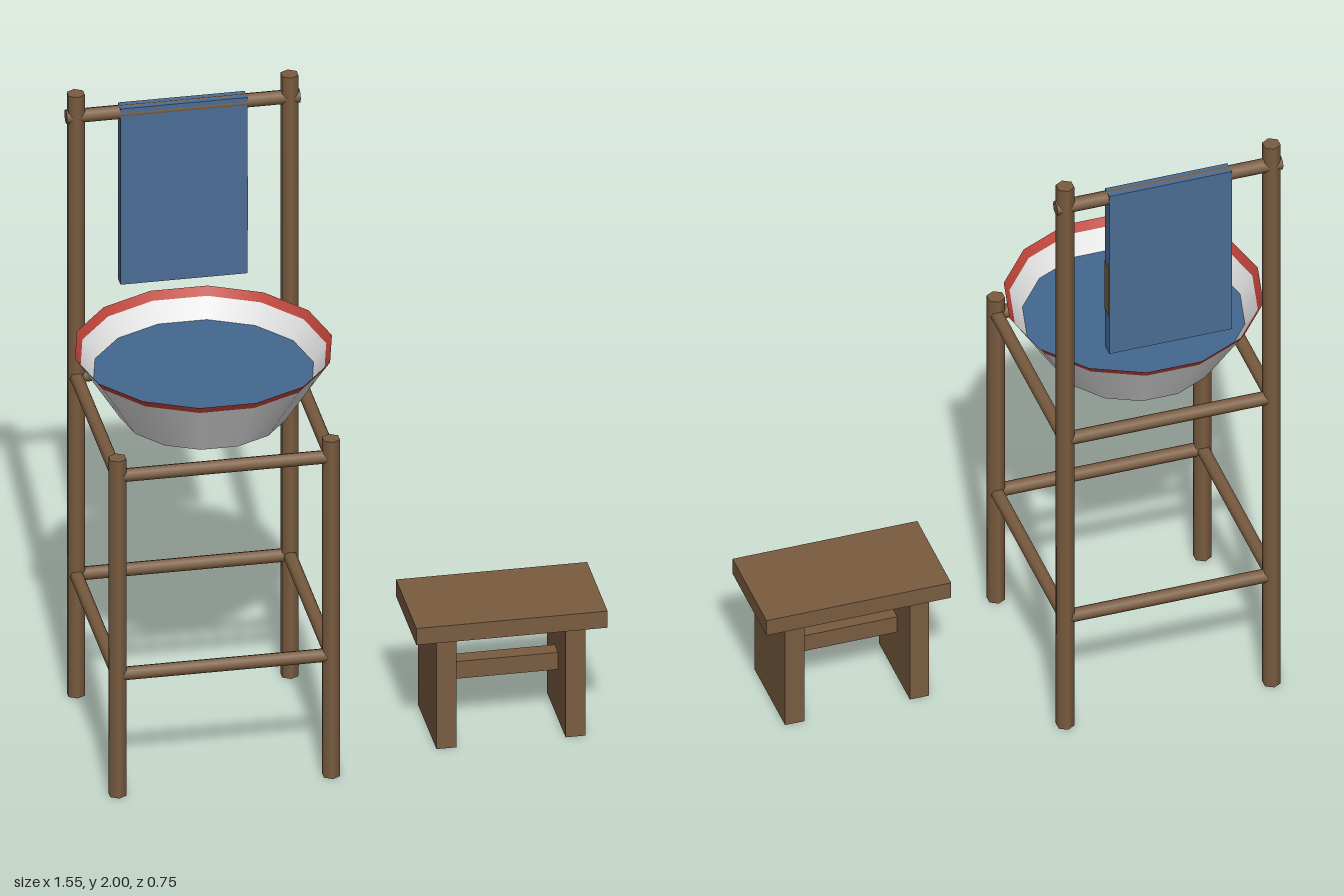
import * as THREE from 'three';

const mat = (name, color, side = THREE.FrontSide) => {
  const m = new THREE.MeshStandardMaterial({ color, side });
  m.name = name;
  return m;
};

export function createModel() {
  const wood = mat('brown wood', 0x7a5c40);
  const enamel = mat('white enamel', 0xe6e6e6, THREE.DoubleSide);
  const red = mat('red rim', 0xc0453a, THREE.DoubleSide);
  const blue = mat('blue cloth', 0x4a6c94);
  const waterBlue = mat('blue water', 0x42688f);

  const model = new THREE.Group();
  model.name = 'washstandAndStool';
  const group = (name) => {
    const g = new THREE.Group();
    g.name = name;
    model.add(g);
    return g;
  };
  const add = (parent, name, geometry, material, x, y, z) => {
    const mesh = new THREE.Mesh(geometry, material);
    mesh.name = name;
    mesh.position.set(x, y, z);
    parent.add(mesh);
    return mesh;
  };
  // box given by its minimum and maximum corners
  const box = (parent, name, material, x0, x1, y0, y1, z0, z1) =>
    add(parent, name, new THREE.BoxGeometry(x1 - x0, y1 - y0, z1 - z0), material,
      (x0 + x1) / 2, (y0 + y1) / 2, (z0 + z1) / 2);

  const cx = -0.39, half = 0.32;

  // Stand: four posts, the back pair tall, joined by two rings of rails
  const stand = group('stand');
  const rail = (name, length, r, x, y, z, alongX) => {
    const geometry = new THREE.CylinderGeometry(r, r, length, 8);
    if (alongX) geometry.rotateZ(Math.PI / 2);
    else geometry.rotateX(Math.PI / 2);
    add(stand, name, geometry, wood, x, y, z);
  };
  for (const s of [-1, 1]) {
    for (const [name, height, z] of [['frontPost', 1.12, half], ['backPost', 2, -half]]) {
      add(stand, name, new THREE.CylinderGeometry(0.028, 0.028, height, 6), wood,
        cx + s * half, height / 2, z);
    }
    for (const y of [0.4, 1.06]) {
      rail('crossRail', 2 * half, 0.021, cx, y, s * half, true);
      rail('sideRail', 2 * half, 0.021, cx + s * half, y, 0, false);
    }
  }
  rail('towelRail', 0.7, 0.022, cx, 1.925, -half, true);

  // Towel hanging over the top rail, with a small patch on its edge
  const towel = group('towel');
  box(towel, 'cloth', blue, -0.58, -0.2, 1.36, 1.945, -0.342, -0.3);
  box(towel, 'edgePatch', wood, -0.2, -0.198, 1.5, 1.68, -0.34, -0.302);

  // Basin: thin flaring wall, red lip, base and water
  const basin = group('basin');
  basin.position.x = cx;
  const ring = (rTop, rBottom, y0, y1) =>
    new THREE.CylinderGeometry(rTop, rBottom, y1 - y0, 14, 1, true, Math.PI / 2)
      .translate(0, (y0 + y1) / 2, 0);
  const disc = (r) => new THREE.CircleGeometry(r, 14).rotateX(-Math.PI / 2);
  add(basin, 'basinWall', ring(0.368, 0.25, 1.08, 1.265), enamel, 0, 0, 0);
  add(basin, 'basinRim', ring(0.385, 0.368, 1.265, 1.29), red, 0, 0, 0);
  add(basin, 'basinBase', disc(0.25), enamel, 0, 1.08, 0);
  add(basin, 'water', disc(0.33), waterBlue, 0, 1.206, 0);

  // Stool: slab seat, two board legs and a stretcher
  const stool = group('stool');
  box(stool, 'seat', wood, 0.202, 0.775, 0.36, 0.415, -0.078, 0.236);
  box(stool, 'rightLeg', wood, 0.265, 0.325, 0, 0.36, -0.062, 0.222);
  box(stool, 'leftLeg', wood, 0.652, 0.712, 0, 0.36, -0.062, 0.222);
  box(stool, 'stretcher', wood, 0.325, 0.652, 0.165, 0.222, 0.055, 0.105);

  return model;
}
